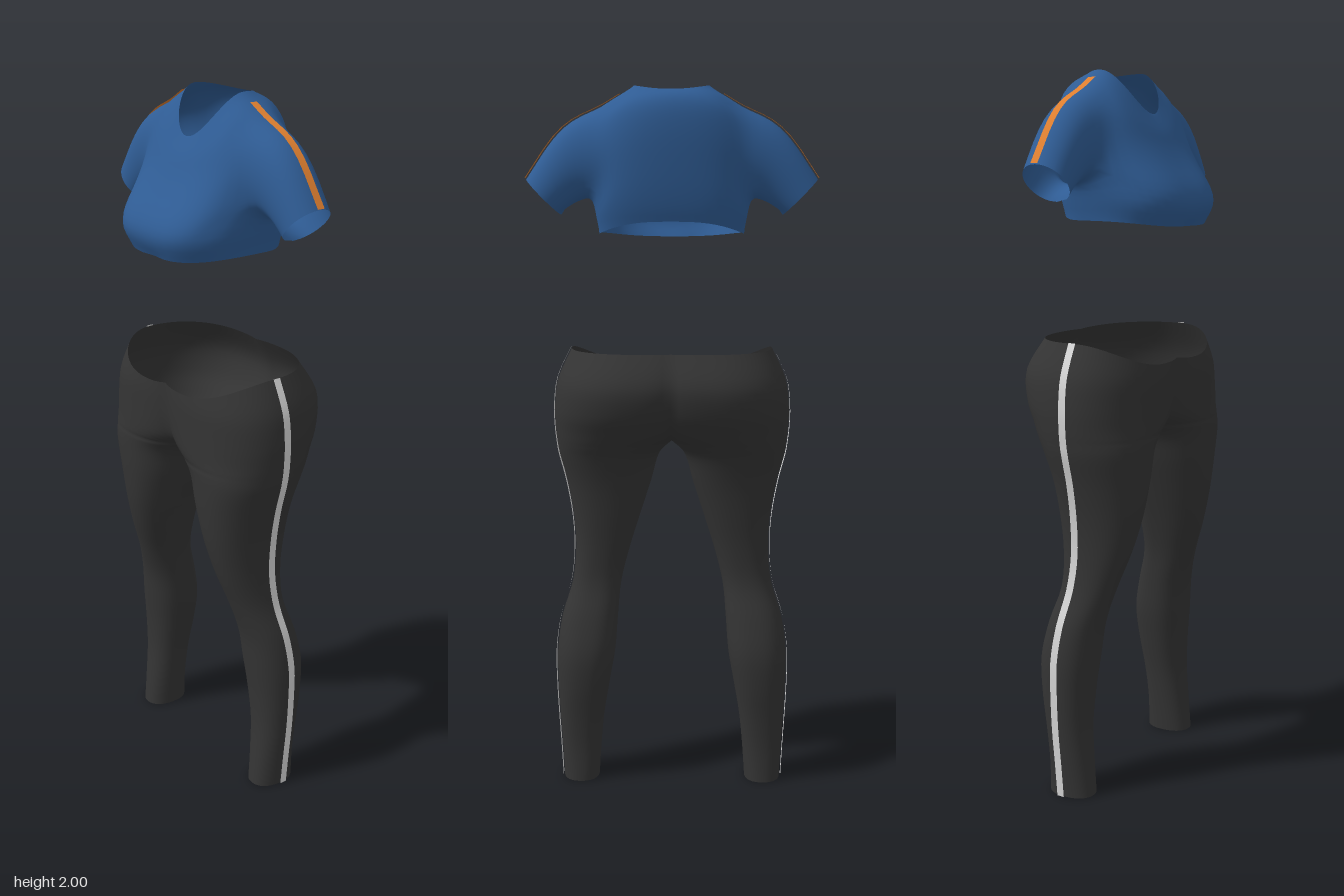
import * as THREE from 'three';
import { mergeVertices } from 'three/addons/utils/BufferGeometryUtils.js';

const mat = (name, color) => {
  const m = new THREE.MeshStandardMaterial({ color, side: THREE.DoubleSide });
  m.name = name;
  return m;
};

// Catmull-Rom interpolation of rows of numbers, n steps per span
function smoothRows(keys, n) {
  const out = [];
  const at = i => keys[Math.min(keys.length - 1, Math.max(0, i))];
  for (let i = 0; i < keys.length - 1; i++) {
    for (let k = 0; k < n; k++) {
      const t = k / n, [a, b, c, d] = [at(i - 1), at(i), at(i + 1), at(i + 2)];
      out.push(b.map((_, j) => b[j] + 0.5 * t * (c[j] - a[j] + t * (2 * a[j] - 5 * b[j] + 4 * c[j] - d[j]
        + t * (3 * (b[j] - c[j]) + d[j] - a[j])))));
    }
  }
  out.push(keys[keys.length - 1].slice());
  return out;
}

const spow = (v, p) => Math.sign(v) * Math.abs(v) ** p;

// Mirrors a left half across x = 0 and welds the two halves
function mirrored(points, index) {
  const n = points.length, pos = [], idx = [...index];
  for (const s of [1, -1]) for (const p of points) pos.push(s * p.x, p.y, p.z);
  for (let i = 0; i < index.length; i += 3) idx.push(index[i] + n, index[i + 2] + n, index[i + 1] + n);
  let g = new THREE.BufferGeometry();
  g.setAttribute('position', new THREE.Float32BufferAttribute(pos, 3));
  g.setIndex(idx);
  g = mergeVertices(g, 1e-5);
  g.computeVertexNormals();
  return g;
}

const quad = (index, a, b, d, e) => index.push(a, d, b, b, d, e);

// Flat ribbon along a path, lifted off the surface
function ribbon(path, halfWidth, lift) {
  const points = [], index = [];
  path.forEach((p, i) => {
    const t = path[Math.min(i + 1, path.length - 1)].clone().sub(path[Math.max(i - 1, 0)]).normalize();
    const n = new THREE.Vector3(Math.abs(t.y), t.y < 0 ? t.x : -t.x, 0).normalize().multiplyScalar(lift);
    for (const s of [-1, 1]) points.push(p.clone().add(n).add(new THREE.Vector3(0, 0, s * halfWidth)));
    if (i) quad(index, 2 * i - 2, 2 * i - 1, 2 * i, 2 * i + 1);
  });
  return mirrored(points, index);
}

// Leggings: one leg and half the hips; sections open along x = 0 above the crotch
function leggings() {
  // y, inner x, outer x, side seam z, front z, back z, front dip
  const rows = smoothRows([
    [0, 0.217, 0.321, -0.025, 0.05, -0.085, 0],
    [0.1, 0.21, 0.325, -0.03, 0.04, -0.085, 0],
    [0.2, 0.20, 0.33, -0.035, 0.032, -0.095, 0],
    [0.3, 0.183, 0.334, -0.036, 0.035, -0.11, 0],
    [0.4, 0.166, 0.334, -0.035, 0.045, -0.115, 0],
    [0.5, 0.158, 0.32, -0.025, 0.057, -0.095, 0],
    [0.6, 0.148, 0.29, -0.01, 0.087, -0.067, 0],
    [0.7, 0.123, 0.28, 0, 0.122, -0.07, 0],
    [0.8, 0.092, 0.285, 0.002, 0.147, -0.085, 0],
    [0.9, 0.06, 0.302, 0.003, 0.16, -0.105, 0],
    [0.98, 0.037, 0.322, 0.002, 0.165, -0.132, 0],
    [1.02, 0, 0.328, 0, 0.166, -0.155, 0],
    [1.06, -0.06, 0.332, 0, 0.166, -0.18, 0],
    [1.12, -0.1, 0.333, 0, 0.166, -0.212, 0],
    [1.2, -0.12, 0.322, 0, 0.166, -0.222, 0.02],
    [1.285, -0.13, 0.283, 0, 0.163, -0.175, 0.065],
  ], 4);
  const M = 36, P = 0.88, points = [], index = [], seam = [];
  rows.forEach(([y, inner, outer, zs, front, back, dip], r) => {
    const cx = (inner + outer) / 2, rx = (outer - inner) / 2;
    const A = inner < 0 ? Math.acos(-((cx / rx) ** (1 / P))) : Math.PI;
    for (let c = 0; c <= M; c++) {
      const th = A * (2 * c / M - 1), s = Math.sin(th);
      const end = c === 0 || c === M;
      const x = end ? Math.max(inner, 0) : cx + rx * spow(Math.cos(th), P);
      const z = end && inner >= 0 ? zs : zs + (s > 0 ? front - zs : zs - back) * spow(s, P);
      points.push(new THREE.Vector3(x, y - (s > 0 ? dip * s * s : 0), z));
      if (r && c < M) {
        const a = (r - 1) * (M + 1) + c;
        quad(index, a, a + 1, a + M + 1, a + M + 2);
      }
    }
    seam.push(new THREE.Vector3(outer, y, zs));
  });
  return { body: mirrored(points, index), stripe: ribbon(seam, 0.011, 0.004) };
}

// Cropped top: half a torso with an armhole, and a sleeve grown from its edge
function croppedTop() {
  // y front, y back, y side, half width, front z, back z, roundness, centre dent
  const rows = smoothRows([
    [1.588, 1.64, 1.605, 0.2, 0.192, -0.13, 0.72, 0.008],
    [1.635, 1.67, 1.65, 0.21, 0.222, -0.14, 0.7, 0.016],
    [1.685, 1.72, 1.695, 0.217, 0.212, -0.15, 0.72, 0.016],
    [1.745, 1.78, 1.76, 0.222, 0.165, -0.158, 0.78, 0.01],
    [1.795, 1.84, 1.82, 0.225, 0.13, -0.164, 0.82, 0.003],
    [1.825, 1.89, 1.885, 0.215, 0.113, -0.166, 0.85, 0],
    [1.847, 1.94, 1.945, 0.19, 0.1, -0.162, 0.88, 0],
    [1.867, 1.975, 1.976, 0.14, 0.087, -0.143, 0.92, 0],
    [1.885, 1.987, 2.0, 0.103, 0.075, -0.107, 1, 0],
  ], 3);
  const H = 24, W = H + 1, ZS = -0.03, points = [], index = [];
  const R0 = 6, R1 = 18, C0 = 8, C1 = 16;
  rows.forEach(([yF, yB, yS, w, f, b, p, dent], r) => {
    for (let c = 0; c <= H; c++) {
      const phi = Math.PI * (c / H - 0.5), s = Math.sin(phi);
      const x = c % H === 0 ? 0 : w * spow(Math.cos(phi), p);
      let z = ZS + (s > 0 ? f - ZS : ZS - b) * spow(s, p);
      if (s > 0) z -= dent * Math.exp(-((x / 0.04) ** 2));
      points.push(new THREE.Vector3(x, yS + ((s > 0 ? yF : yB) - yS) * s * s, z));
      const hole = r > R0 && r <= R1 && c >= C0 && c < C1;
      if (r && c < H && !hole) {
        const a = (r - 1) * W + c;
        quad(index, a, a + 1, a + W, a + W + 1);
      }
    }
  });

  // armhole edge, rounded to an oval
  let loop = [];
  for (let c = C0; c < C1; c++) loop.push(R0 * W + c);
  for (let r = R0; r < R1; r++) loop.push(r * W + C1);
  for (let c = C1; c > C0; c--) loop.push(R1 * W + c);
  for (let r = R1; r > R0; r--) loop.push(r * W + C0);
  const angles = loop.map(i => {
    const p = points[i], a = Math.atan2((p.y - 1.82) / 0.125, (p.z - ZS) / 0.085);
    p.y = 1.82 + 0.125 * Math.sin(a);
    p.z = ZS + 0.085 * Math.cos(a);
    return a;
  });

  // sleeve rings: top x, top y, bottom x, bottom y, half depth
  const rings = smoothRows([
    [0.19, 1.945, 0.217, 1.695, 0.085],
    [0.245, 1.927, 0.236, 1.691, 0.078],
    [0.298, 1.896, 0.258, 1.684, 0.073],
    [0.348, 1.837, 0.281, 1.672, 0.07],
    [0.4, 1.752, 0.305, 1.656, 0.066],
  ], 2);
  const TOP = 24, ridge = [21, 20, 19, 18].map(r => r * W + H / 2);
  rings.slice(1).forEach(([tx, ty, bx, by, rz]) => {
    const next = angles.map(a => {
      const k = (1 + Math.sin(a)) / 2;
      return points.push(new THREE.Vector3(bx + (tx - bx) * k, by + (ty - by) * k, ZS + rz * Math.cos(a))) - 1;
    });
    loop.forEach((a, i) => {
      const j = (i + 1) % loop.length;
      quad(index, a, loop[j], next[i], next[j]);
    });
    loop = next;
    ridge.push(next[TOP]);
  });

  // relax the cloth, keeping hem, neckline and cuff in place
  const near = points.map(() => new Set());
  for (let i = 0; i < index.length; i += 3) {
    for (let k = 0; k < 3; k++) {
      const a = index[i + k], b = index[i + (k + 1) % 3];
      near[a].add(b);
      near[b].add(a);
    }
  }
  const fixed = new Set(loop);
  for (let c = 0; c <= H; c++) fixed.add(c).add((rows.length - 1) * W + c);
  for (let pass = 0; pass < 4; pass++) {
    const old = points.map(p => p.clone());
    points.forEach((p, i) => {
      if (fixed.has(i) || !near[i].size) return;
      const mean = new THREE.Vector3();
      near[i].forEach(j => mean.add(old[j]));
      p.lerp(mean.divideScalar(near[i].size), 0.5);
      if (old[i].x === 0) p.x = 0;
    });
  }
  return { body: mirrored(points, index), stripe: ribbon(ridge.map(i => points[i]), 0.011, 0.005) };
}

export function createModel() {
  const model = new THREE.Group();
  const add = (name, geometry, material) => {
    const mesh = new THREE.Mesh(geometry, material);
    mesh.name = name;
    model.add(mesh);
  };
  const top = croppedTop(), legs = leggings();
  add('croppedTop', top.body, mat('blue cloth', 0x2f5c94));
  add('shoulderStripes', top.stripe, mat('orange trim', 0xe08030));
  add('leggings', legs.body, mat('charcoal cloth', 0x343434));
  add('legStripes', legs.stripe, mat('pale grey trim', 0xd8d8d8));
  return model;
}
